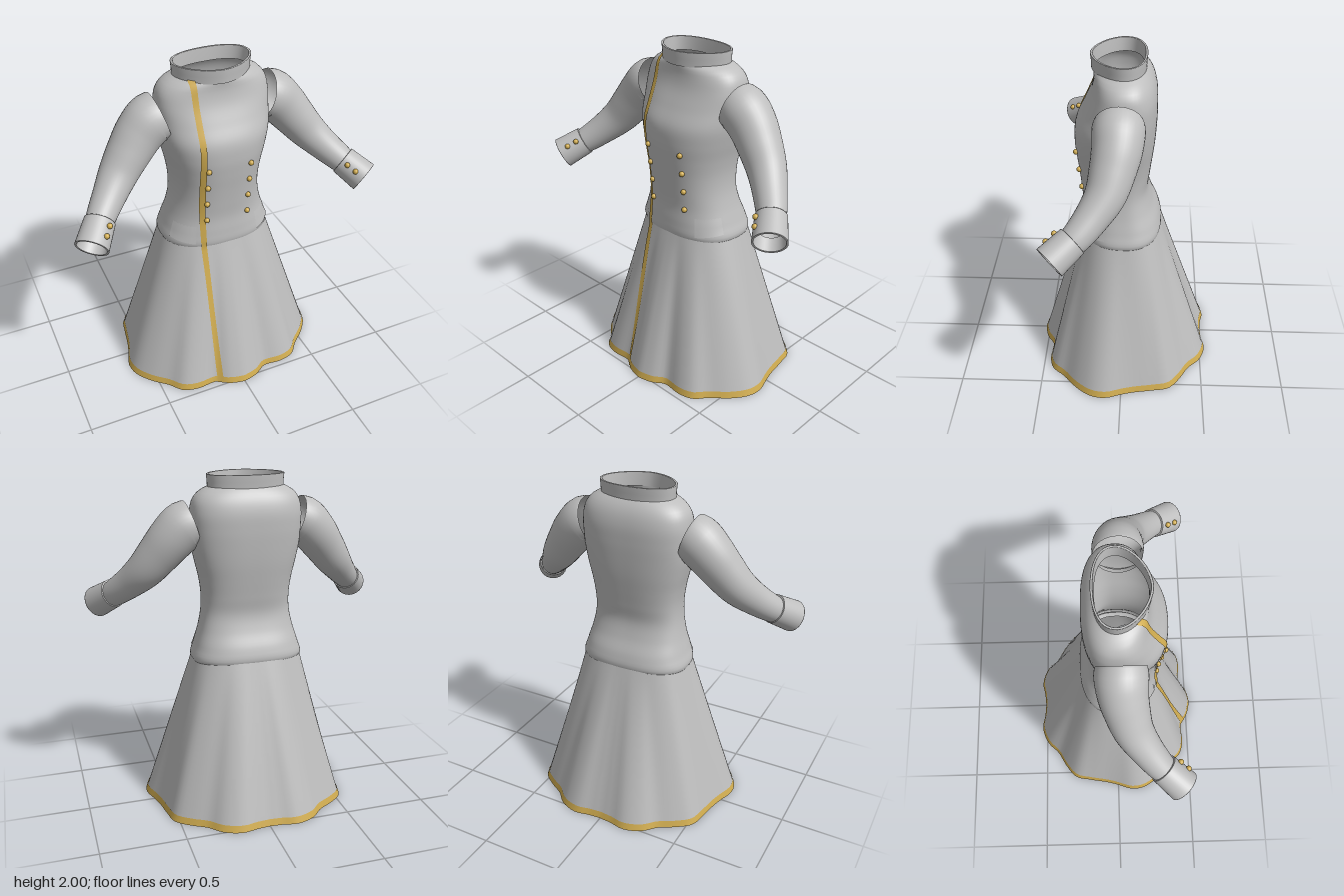
import * as THREE from 'three';

const mat = (name, color) => {
  const m = new THREE.MeshStandardMaterial({ color, side: THREE.DoubleSide });
  m.name = name;
  return m;
};

// Torso cross-sections: y, half width, front depth, back depth, front and back squareness
const SECTIONS = [
  [0.89, 0.315, 0.235, 0.195, 2.4, 2.6],
  [0.92, 0.335, 0.25, 0.222, 2.4, 2.6],
  [1.0, 0.315, 0.25, 0.213, 2.4, 2.6],
  [1.1, 0.285, 0.243, 0.17, 2.4, 2.6],
  [1.2, 0.265, 0.25, 0.145, 2.4, 2.6],
  [1.3, 0.262, 0.26, 0.155, 2.4, 2.6],
  [1.4, 0.275, 0.272, 0.168, 2.4, 2.6],
  [1.5, 0.298, 0.28, 0.18, 2.4, 2.6],
  [1.6, 0.318, 0.272, 0.187, 2.4, 2.6],
  [1.7, 0.325, 0.225, 0.19, 2.4, 2.7],
  [1.8, 0.325, 0.18, 0.185, 2.4, 2.7],
  [1.87, 0.305, 0.165, 0.165, 2.2, 2.6],
  [1.91, 0.265, 0.165, 0.14, 2.0, 2.5],
  [1.935, 0.213, 0.168, 0.116, 1.7, 2.4],
];
// Wavy hem: angle from the front in degrees, radius
const HEM = [
  [0, 0.525], [11, 0.51], [20.5, 0.486], [33, 0.55], [41, 0.58], [51, 0.576], [64, 0.613],
  [73.6, 0.636], [81, 0.63], [90, 0.592], [98, 0.576], [110, 0.585], [119, 0.604],
  [129, 0.576], [140, 0.547], [150, 0.564], [163, 0.554], [171, 0.521], [180, 0.507],
];
const spline = (rows) =>
  new THREE.CubicInterpolant(rows.map((r) => r[0]), rows.flatMap((r) => r.slice(1)), rows[0].length - 1);
const torsoSpline = spline(SECTIONS);
const hemSpline = spline(HEM);
const WAIST = 0.95;

function torsoRadius(a, y) {
  const [w, f, b, nf, nb] = torsoSpline.evaluate(THREE.MathUtils.clamp(y, 0.89, 1.935));
  const c = Math.cos(a), n = c > 0 ? nf : nb;
  return (Math.abs(Math.sin(a) / w) ** n + Math.abs(c / (c > 0 ? f : b)) ** n) ** (-1 / n);
}
function skirtRadius(a, y) {
  const deg = Math.abs(THREE.MathUtils.radToDeg(Math.atan2(Math.sin(a), Math.cos(a))));
  const hem = hemSpline.evaluate(Math.min(deg, 180))[0];
  return THREE.MathUtils.lerp(torsoRadius(a, WAIST) * 0.965, hem, (WAIST - y) / WAIST);
}
const coatRadius = (a, y) =>
  y > WAIST ? torsoRadius(a, y) : y < 0.89 ? skirtRadius(a, y) : Math.max(torsoRadius(a, y), skirtRadius(a, y));
const polar = (a, y, r) => new THREE.Vector3(r * Math.sin(a), y, r * Math.cos(a));

// Angle at which the coat's front reaches a given x
function angleAtX(x, y) {
  let lo = 0, hi = Math.PI / 2;
  for (let i = 0; i < 30; i++) {
    const m = (lo + hi) / 2;
    if (coatRadius(m, y) * Math.sin(m) < Math.abs(x)) lo = m; else hi = m;
  }
  return lo * Math.sign(x);
}

// Surface through a grid of points; closed rows join end to start
function grid(rows, cols, closed, pointAt) {
  const pos = [], idx = [];
  for (let j = 0; j <= rows; j++)
    for (let i = 0; i < cols; i++)
      pos.push(...pointAt(i / (closed ? cols : cols - 1), j / rows).toArray());
  for (let j = 0; j < rows; j++)
    for (let i = 0; i < (closed ? cols : cols - 1); i++) {
      const a = j * cols + i, b = j * cols + ((i + 1) % cols);
      idx.push(a, b, b + cols, a, b + cols, a + cols);
    }
  const g = new THREE.BufferGeometry();
  g.setAttribute('position', new THREE.Float32BufferAttribute(pos, 3));
  g.setIndex(idx);
  g.computeVertexNormals();
  return g;
}

export function createModel() {
  const model = new THREE.Group();
  model.name = 'coat';
  const cloth = mat('grey cloth', 0xbebebe);
  const gold = mat('gold trim', 0xd0ac50);
  const add = (name, geometry, material) => {
    const m = new THREE.Mesh(geometry, material);
    m.name = name;
    model.add(m);
    return m;
  };
  const TAU = Math.PI * 2, lerp = THREE.MathUtils.lerp;

  // Bodice and flared skirt
  add('bodice', grid(60, 96, true, (u, v) => {
    const y = lerp(0.89, 1.935, v);
    return polar(u * TAU, y, torsoRadius(u * TAU, y));
  }), cloth);
  add('skirt', grid(16, 120, true, (u, v) => polar(u * TAU, v * WAIST, skirtRadius(u * TAU, v * WAIST))), cloth);
  add('hemTrim', grid(1, 120, true, (u, v) =>
    polar(u * TAU, v * 0.04, skirtRadius(u * TAU, v * 0.04) + 0.004)), gold);

  // Stand collar: up the outside, over the rim and down the inside
  const collar = [[1.92, 0.01], [1.96, 0.011], [1.998, 0.015], [2.0, 0.012], [2.0, 0.004], [1.998, 0.001], [1.92, -0.004]];
  add('collar', grid(collar.length - 1, 80, true, (u, v) => {
    const [y, off] = collar[Math.round(v * (collar.length - 1))];
    return polar(u * TAU, y, torsoRadius(u * TAU, 1.935) + off);
  }), cloth);

  // Trim along the off-centre front opening
  add('frontTrim', grid(80, 4, false, (u, v) => {
    const y = v * 1.94;
    const a = angleAtX(lerp(-0.157, -0.172, v) + u * 0.032, y);
    return polar(a, y, coatRadius(a, y) + 0.007);
  }), gold);

  // Double row of front buttons
  const ball = new THREE.SphereGeometry(0.016, 14, 10);
  for (const x of [-0.127, 0.122])
    for (const y of [1.45, 1.335, 1.22, 1.105]) {
      const a = angleAtX(x, y);
      add('frontButton', ball, gold).position.copy(polar(a, y, coatRadius(a, y) + 0.006));
    }

  for (const s of [1, -1]) {
    const side = s > 0 ? 'left' : 'right';
    const V = (x, y, z) => new THREE.Vector3(x * s, y, z);

    // Pocket flap
    add(side + 'PocketFlap', grid(6, 8, false, (u, v) => {
      const y = lerp(0.945 + u * 0.02, 1.06, v);
      const a = s * lerp(0.72, 1.25, u);
      return polar(a, y, coatRadius(a, y) + 0.006 * (1 - v));
    }), cloth);

    // Tapered sleeve
    const path = new THREE.CatmullRomCurve3([
      V(0.315, 1.725, 0.015), V(0.36, 1.71, 0.015), V(0.43, 1.645, 0.02), V(0.5, 1.56, 0.04),
      V(0.58, 1.46, 0.075), V(0.66, 1.375, 0.14), V(0.75, 1.29, 0.23), V(0.8, 1.245, 0.3),
    ]);
    const radius = spline([
      [0, 0.135], [0.14, 0.142], [0.29, 0.135], [0.43, 0.124], [0.57, 0.11], [0.71, 0.094], [0.86, 0.078], [1, 0.06],
    ]);
    const N = 36, frames = path.computeFrenetFrames(N);
    add(side + 'Sleeve', grid(N, 36, true, (u, v) => {
      const k = Math.round(v * N), r = radius.evaluate(path.getUtoTmapping(v))[0];
      return path.getPointAt(v)
        .addScaledVector(frames.normals[k], r * Math.cos(u * TAU))
        .addScaledVector(frames.binormals[k], r * Math.sin(u * TAU));
    }), cloth);

    // Cuff, open at the wrist
    const start = V(0.752, 1.29, 0.235);
    const axis = V(0.53, -0.47, 0.7).normalize();
    const wall = [[0.074, 0], [0.086, 0], [0.086, 0.002], [0.094, 0.158], [0.094, 0.16], [0.084, 0.16], [0.083, 0.158], [0.074, 0]];
    const cuff = add(side + 'Cuff', new THREE.LatheGeometry(wall.map((p) => new THREE.Vector2(...p)), 40), cloth);
    cuff.position.copy(start);
    cuff.quaternion.setFromUnitVectors(new THREE.Vector3(0, 1, 0), axis);

    // Two buttons on the front of the cuff
    const out = new THREE.Vector3(0, 0, 1).addScaledVector(axis, -axis.z).normalize();
    for (const d of [0.04, 0.1])
      add(side + 'CuffButton', ball, gold).position.copy(start).addScaledVector(axis, d).addScaledVector(out, 0.093);
  }
  return model;
}
